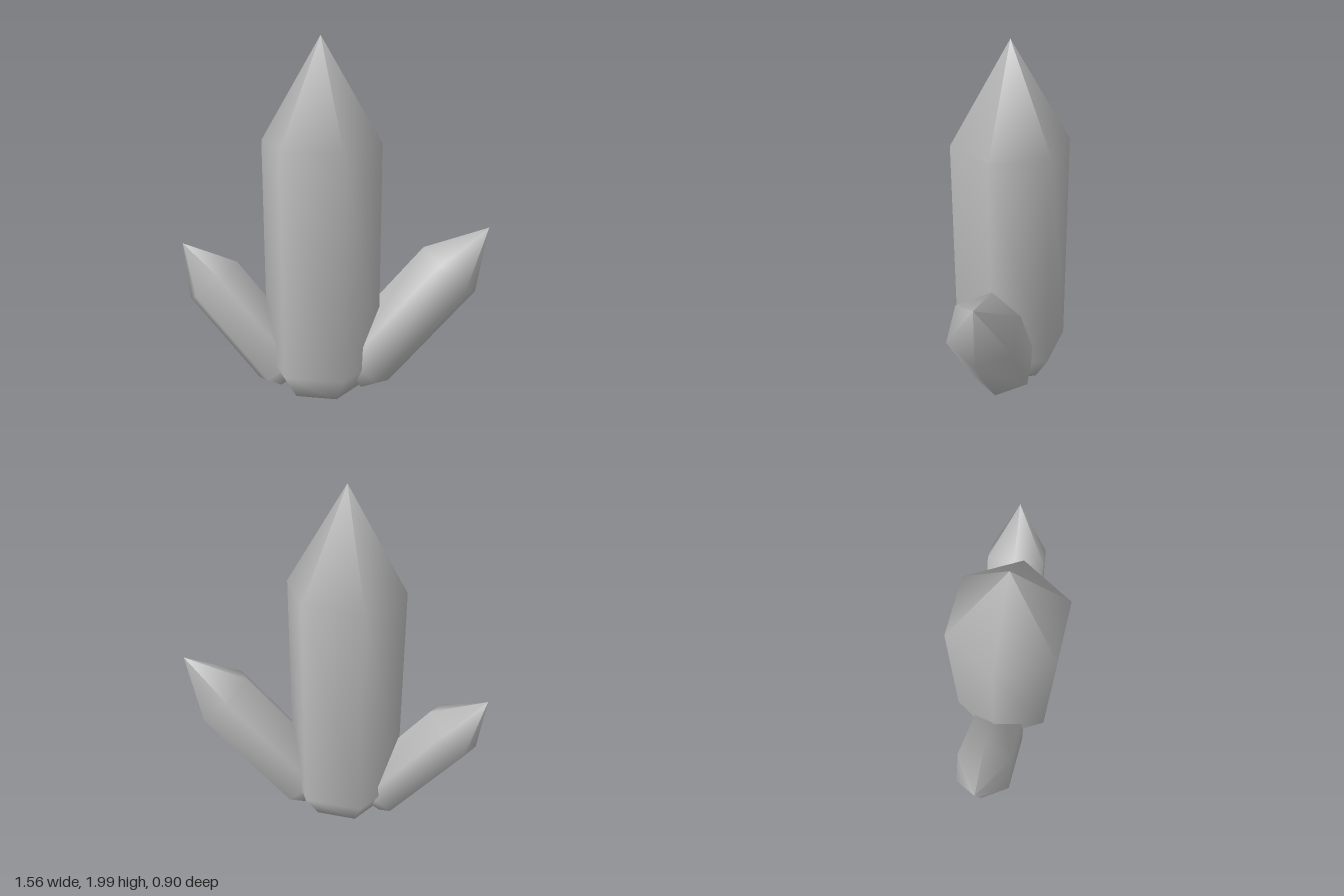
import * as THREE from 'three';

const stone = new THREE.MeshStandardMaterial({ color: 0xb8b8b8 });
stone.name = 'grey crystal';

// Six-sided crystal: chamfered foot, straight shaft, pointed tip.
// tip: apex position, axis: growth direction, corner: direction of one prism edge
function crystal(name, radius, length, tip, axis, corner) {
  const profile = [
    [0, 0],
    [radius * 0.7, 0],
    [radius, length * 0.08],
    [radius, length * 0.72],
    [0, length],
  ].map(([r, y]) => new THREE.Vector2(r, y));
  const mesh = new THREE.Mesh(new THREE.LatheGeometry(profile, 6), stone);
  mesh.name = name;

  const y = new THREE.Vector3(...axis).normalize();
  const x = new THREE.Vector3().crossVectors(y, new THREE.Vector3(...corner)).normalize();
  const z = new THREE.Vector3().crossVectors(x, y);
  mesh.quaternion.setFromRotationMatrix(new THREE.Matrix4().makeBasis(x, y, z));
  mesh.position.set(...tip).addScaledVector(y, -length);
  return mesh;
}

export function createModel() {
  const group = new THREE.Group();
  group.name = 'crystalCluster';
  group.add(
    crystal('mainCrystal', 0.326, 1.967, [-0.083, 2, 0.01], [0, 1, 0], [0, 0, 1]),
    crystal('leftCrystal', 0.195, 1.145, [0.78, 0.97, 0.335], [0.612, 0.757, 0.222], [-0.026, -0.31, 0.95]),
    crystal('rightCrystal', 0.176, 0.98, [-0.783, 0.845, -0.375], [-0.55, 0.775, -0.31], [0, -0.39, -0.92]),
  );
  return group;
}
